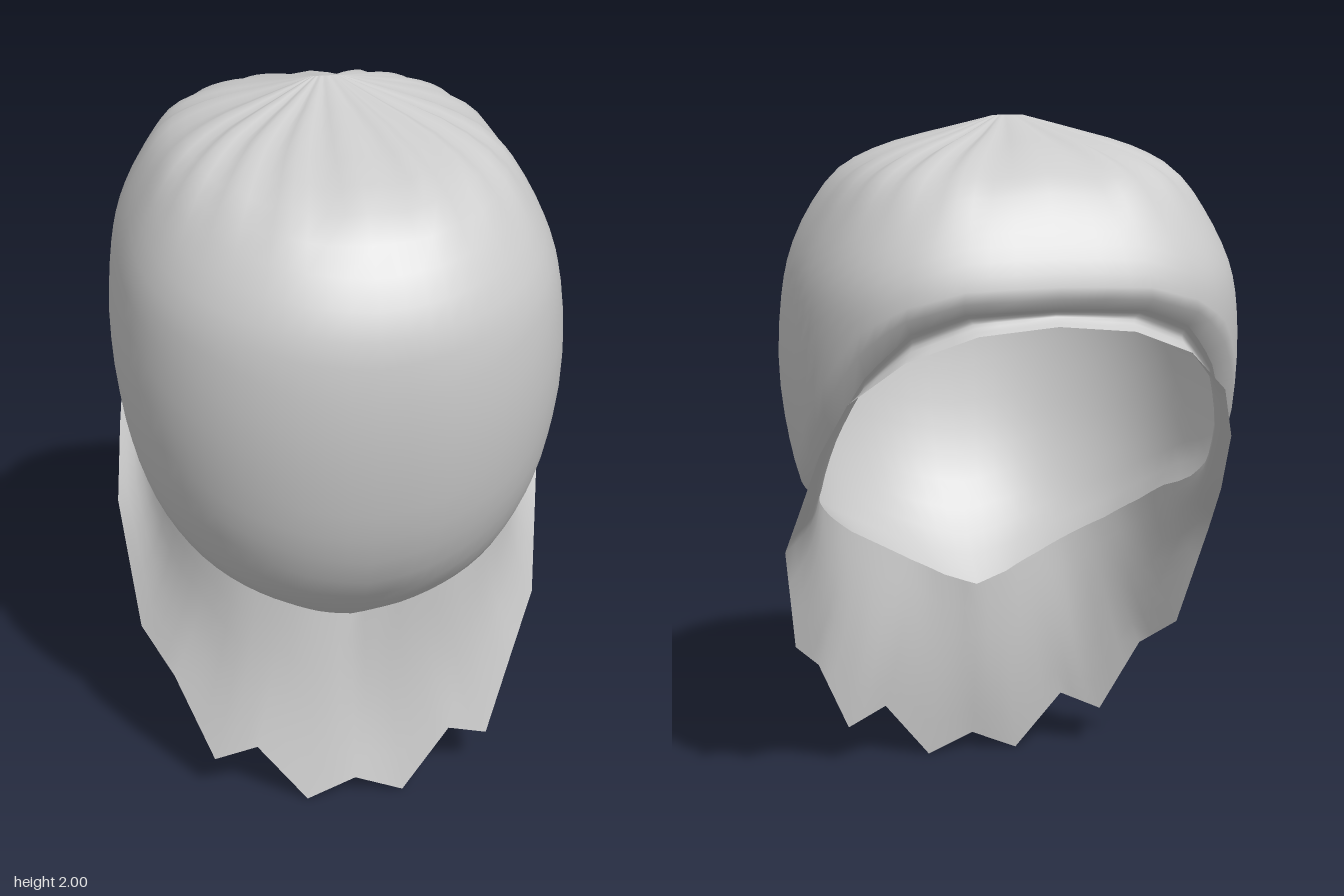
import * as THREE from 'three';

const COLS = 72, ROWS = 22;
const V = (x, y, z) => new THREE.Vector3(x, y, z);

// Hood sections from crown to throat: y, half width, centre z, front z, back z
const SECTIONS = [
  [2.0, 0.04, -0.11, -0.11, -0.11], [1.96, 0.17, -0.11, 0.05, -0.27],
  [1.91, 0.33, -0.10, 0.26, -0.44], [1.85, 0.44, -0.08, 0.48, -0.55],
  [1.75, 0.515, -0.05, 0.59, -0.63], [1.62, 0.575, -0.05, 0.67, -0.69],
  [1.5, 0.60, -0.05, 0.70, -0.69], [1.3, 0.612, -0.05, 0.70, -0.64],
  [1.1, 0.59, -0.05, 0.67, -0.60], [0.95, 0.55, -0.05, 0.63, -0.56],
  [0.8, 0.48, -0.05, 0.56, -0.5], [0.68, 0.40, -0.05, 0.45, -0.4],
  [0.57, 0.30, -0.05, 0.33, -0.3],
];
const sides = new THREE.CatmullRomCurve3(SECTIONS.map(([y, w, c]) => V(w, y, c)));
const depths = new THREE.CatmullRomCurve3(SECTIONS.map(([y, , , f, b]) => V(f, y, b)));

// Neck height and ragged hem, every 15 degrees from front to back
const NECK = [0.57, 0.6, 0.65, 0.71, 0.77, 0.85, 0.95, 1.05, 1.2, 1.37, 1.49, 1.54, 1.55];
const HEM = [
  [0, 0.06, 0.39], [0.14, 0, 0.388], [0.28, 0.18, 0.36], [0.4, 0.13, 0.33],
  [0.5, 0.37, 0.24], [0.58, 0.47, 0.12], [0.62, 0.8, -0.04], [0.595, 0.96, -0.21],
  [0.56, 1.15, -0.38], [0.5, 1.3, -0.49], [0.37, 1.42, -0.6], [0.2, 1.49, -0.67],
  [0, 1.51, -0.68],
].map((p) => V(...p));

// Column angle a (0 at the front) as a mirrored position in a table
function lookup(a) {
  const half = a > Math.PI ? 2 * Math.PI - a : a;
  const f = Math.min(half / (Math.PI / 12), 11.9999);
  return [Math.floor(f), f - Math.floor(f)];
}

function hoodPoint(a, s) {
  const side = sides.getPoint(s), depth = depths.getPoint(s);
  const n = 2 / (2.65 - 0.35 * Math.cos(a));
  const bend = (v) => Math.sign(v) * Math.pow(Math.abs(v), n);
  const c = Math.cos(a);
  const reach = c > 0 ? depth.x - side.z : side.z - depth.z;
  // shallow gathers around the crown
  const gather = 0.008 * Math.sin(Math.PI * Math.min(1, s / 0.35)) * Math.cos(a * 18);
  return V(side.x * bend(Math.sin(a)), side.y + gather, side.z + reach * bend(c));
}

// Position along the section curves where the hood reaches the neck
function neckParam(a) {
  const [i, f] = lookup(a);
  const y = THREE.MathUtils.lerp(NECK[i], NECK[i + 1], f);
  let lo = 0, hi = 1;
  for (let k = 0; k < 24; k++) {
    const mid = (lo + hi) / 2;
    if (sides.getPoint(mid).y > y) lo = mid; else hi = mid;
  }
  return lo;
}

function neckPoint(a) {
  const p = hoodPoint(a, neckParam(a));
  return V(p.x * 0.95, p.y, -0.05 + (p.z + 0.05) * 0.95);
}

function hemPoint(a) {
  const [i, f] = lookup(a);
  const p = HEM[i].clone().lerp(HEM[i + 1], f);
  if (a > Math.PI) p.x *= -1;
  return p;
}

// Closed band of quads from a rule point(angle, 0..1 downwards)
function band(rows, point) {
  const pos = [], index = [];
  for (let j = 0; j <= rows; j++)
    for (let i = 0; i < COLS; i++)
      pos.push(...point((i / COLS) * Math.PI * 2, j / rows).toArray());
  for (let j = 0; j < rows; j++)
    for (let i = 0; i < COLS; i++) {
      const n = (i + 1) % COLS;
      const a = j * COLS + i, b = j * COLS + n, c = a + COLS, d = b + COLS;
      index.push(a, c, b, b, c, d);
    }
  const g = new THREE.BufferGeometry();
  g.setAttribute('position', new THREE.Float32BufferAttribute(pos, 3));
  g.setIndex(index);
  g.computeVertexNormals();
  return g;
}

export function createModel() {
  const cloth = new THREE.MeshStandardMaterial({ color: 0xcccccc, side: THREE.DoubleSide });
  cloth.name = 'light grey cloth';
  const group = new THREE.Group();
  group.name = 'hood';

  // Rounded hood, tucked in at the neck
  const dome = new THREE.Mesh(band(ROWS, (a, v) =>
    v === 1 ? neckPoint(a) : hoodPoint(a, neckParam(a) * v)), cloth);
  dome.name = 'hoodDome';

  // Flared skirt hanging from the neck to the ragged hem
  const skirt = new THREE.Mesh(band(6, (a, v) => {
    const p = neckPoint(a).lerp(hemPoint(a), v);
    const tuck = 1 - 0.04 * Math.sin(Math.PI * v);
    return V(p.x * tuck, p.y, p.z * tuck);
  }), cloth);
  skirt.name = 'neckSkirt';

  group.add(dome, skirt);
  return group;
}
